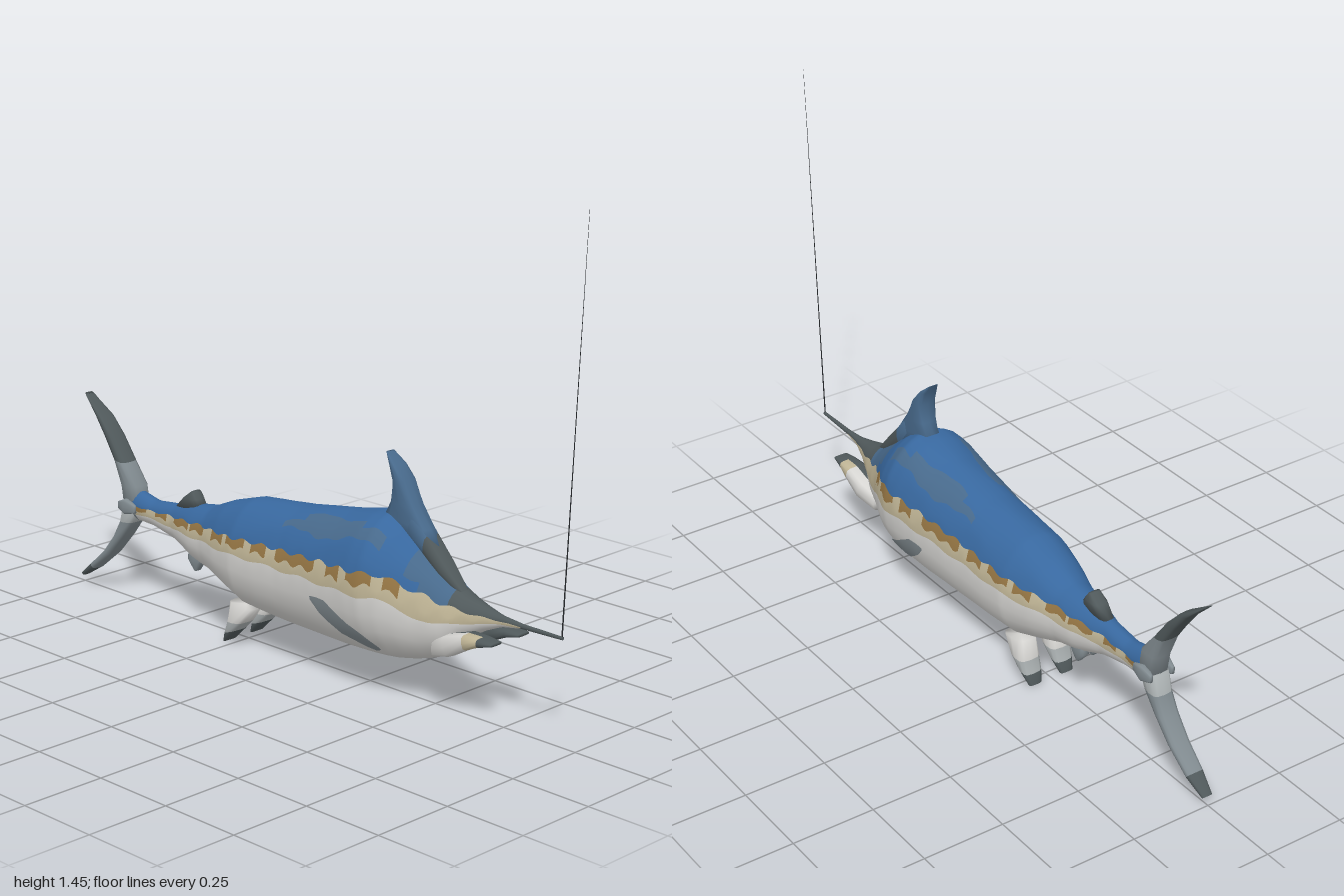
import * as THREE from 'three';

const mat = (name, color) => {
  const m = new THREE.MeshStandardMaterial({ color });
  m.name = name;
  return m;
};

// Closed loft through rings of points; pick(i, j) gives the material of each cell
function loft(name, rings, pick) {
  const middle = r => {
    const c = r.reduce((s, p) => s.add(p), new THREE.Vector3()).divideScalar(r.length);
    return r.map(() => c.clone());
  };
  const all = [middle(rings[0]), ...rings, middle(rings[rings.length - 1])];
  const n = rings[0].length, pts = all.flat(), sets = new Map();
  let volume = 0;
  for (let i = 0; i < all.length - 1; i++) for (let j = 0; j < n; j++) {
    const k = (j + 1) % n, a = i * n + j, b = a + n, c = i * n + k, d = c + n;
    const m = pick(THREE.MathUtils.clamp(i - 1, 0, rings.length - 2), j);
    if (!sets.has(m)) sets.set(m, []);
    for (const t of [[a, c, b], [b, c, d]]) {
      const [p, q, r] = t.map(v => pts[v]);
      if (q.clone().sub(p).cross(r.clone().sub(p)).lengthSq() < 1e-16) continue;
      volume += p.dot(q.clone().cross(r));
      sets.get(m).push(t);
    }
  }
  const geo = new THREE.BufferGeometry().setFromPoints(pts), index = [], mats = [];
  for (const [m, tris] of sets) {
    geo.addGroup(index.length, tris.length * 3, mats.length);
    mats.push(m);
    for (const t of tris) index.push(...(volume < 0 ? [t[0], t[2], t[1]] : t));
  }
  geo.setIndex(index);
  geo.computeVertexNormals();
  const mesh = new THREE.Mesh(geo, mats);
  mesh.name = name;
  return mesh;
}

// Fin from sections [x1, y1, x2, y2, half thickness], one material per segment;
// cells 0-5 of each ring face +z, and an array entry [+z, -z] colours the two faces apart
function fin(name, sections, mats, zc = 0) {
  const rings = sections.map(([x1, y1, x2, y2, h, z = 0]) =>
    Array.from({ length: 12 }, (_, k) => {
      const a = k / 12 * Math.PI * 2, soft = v => Math.sign(v) * Math.abs(v) ** 0.6;
      const u = (1 + soft(Math.cos(a))) / 2;
      return new THREE.Vector3(x1 + (x2 - x1) * u, y1 + (y2 - y1) * u, zc + z + h * soft(Math.sin(a)));
    }));
  return loft(name, rings, (i, j) => [mats[Math.min(i, mats.length - 1)]].flat().at(j < 6 ? 0 : -1));
}

// Body stations: x, top, bottom, half width, lower edge of the back colour
const stations = [
  [-0.77, 0.345, 0.285, 0.02, 0.318], [-0.73, 0.36, 0.265, 0.035, 0.318],
  [-0.65, 0.342, 0.262, 0.034, 0.316], [-0.55, 0.353, 0.24, 0.04, 0.322],
  [-0.45, 0.374, 0.2, 0.068, 0.331], [-0.38, 0.386, 0.185, 0.08, 0.337],
  [-0.3, 0.42, 0.155, 0.105, 0.344], [-0.2, 0.45, 0.12, 0.13, 0.352],
  [-0.1, 0.46, 0.112, 0.136, 0.36], [0, 0.47, 0.108, 0.14, 0.365],
  [0.2, 0.502, 0.104, 0.156, 0.377], [0.3, 0.525, 0.107, 0.164, 0.38],
  [0.35, 0.53, 0.11, 0.164, 0.384], [0.4, 0.505, 0.115, 0.15, 0.386],
  [0.45, 0.465, 0.125, 0.128, 0.372], [0.5, 0.425, 0.138, 0.102, 0.35],
  [0.57, 0.372, 0.168, 0.075, 0.328], [0.62, 0.35, 0.225, 0.055, 0.317],
  [0.68, 0.333, 0.262, 0.032, 0.31], [0.74, 0.32, 0.288, 0.014, 0.307],
  [0.81, 0.314, 0.3, 0.007, 0.306]];

function station(x) {
  let i = 0;
  while (i < stations.length - 2 && stations[i + 1][0] < x) i++;
  const a = stations[i], b = stations[i + 1], t = (x - a[0]) / (b[0] - a[0]);
  const [, top, bottom, w, edge] = a.map((v, k) => v + (b[k] - v) * t);
  return { c: (top + bottom) / 2, h: (top - bottom) / 2, w, edge };
}

export function createModel() {
  const blue = mat('back blue', 0x38689f), slate = mat('slate blue', 0x486a8c);
  const white = mat('belly white', 0xd6d5d2), tan = mat('stripe tan', 0xc0b596);
  const brown = mat('stripe brown', 0x967644), grey = mat('fin grey', 0x818b90);
  const dark = mat('dark grey', 0x50595b), pale = mat('pale grey', 0xaab0b1);
  const black = mat('line black', 0x25282b);
  const model = new THREE.Group();
  model.name = 'fish';

  // Body: each half ring has 6 back, 1 blotch, 1 tan and 6 belly cells
  const count = 150, x0 = -0.77, x1 = 0.81, half = 14;
  const xAt = i => x0 + (x1 - x0) * i / count;
  const rings = Array.from({ length: count + 1 }, (_, i) => {
    const x = xAt(i), { c, h, w, edge } = station(x);
    const phi = y => Math.acos(THREE.MathUtils.clamp((y - c) / h, -0.9, 0.9));
    const band = Math.min(THREE.MathUtils.mapLinear(x, -0.7, 0.35, 0.016, 0.034), h * 0.3, 0.034);
    const e = edge + band * 0.2 * Math.sin(x * 75);
    const blotch = edge - band * (1 + 0.25 * Math.sin(x * 97));
    const p = [phi(e), phi(blotch), phi(edge - band * (1.95 + 0.15 * Math.sin(x * 41)))];
    const angles = [];
    for (let k = 0; k < 6; k++) angles.push(p[0] * (k + (k > 0 ? 0.3 * Math.sin(x * 23 + k) : 0)) / 6);
    angles.push(p[0], p[1]);
    for (let k = 0; k <= 6; k++) angles.push(p[2] + (Math.PI - p[2]) * k / 6);
    const side = angles.map(a => new THREE.Vector3(x, c + h * Math.cos(a), w * Math.sin(a)));
    const other = side.slice(1, half).reverse().map(v => new THREE.Vector3(v.x, v.y, -v.z));
    return [...side, ...other];
  });
  model.add(loft('body', rings, (i, j) => {
    const x = xAt(i), k = j < half ? j : 2 * half - 1 - j;
    if (k < 6) {
      if (x > 0.58 || x < -0.73) return dark;
      if (x > 0.46 && k < 5 || x > 0.5) return slate;
      if (x > -0.02 && x < 0.38 && k === 3 || x > 0.06 && x < 0.3 && k === 2) return slate;
      return blue;
    }
    if (x < -0.72) return grey;
    if (k === 6) return x < 0.46 && Math.sin(x * 60) + 0.6 * Math.sin(x * 23) > -0.5 ? brown : tan;
    return k === 7 ? tan : white;
  }));

  // Bill and the fine line rising from its tip
  const rod = (name, a, b, ra, rb, m) => {
    const from = new THREE.Vector3(...a), dir = new THREE.Vector3(...b).sub(from);
    const mesh = new THREE.Mesh(new THREE.CylinderGeometry(rb, ra, dir.length(), 8), m);
    mesh.position.copy(from).addScaledVector(dir, 0.5);
    mesh.quaternion.setFromUnitVectors(new THREE.Vector3(0, 1, 0), dir.normalize());
    mesh.name = name;
    model.add(mesh);
  };
  rod('bill', [0.74, 0.306, 0], [0.948, 0.308, 0], 0.009, 0.005, dark);
  rod('fishingLine', [0.945, 0.308, 0], [0.998, 1.455, 0], 0.002, 0.0004, black);

  // Dorsal fin with a long dark leading root
  model.add(fin('dorsalFin', [
    [0.318, 0.695, 0.325, 0.692, 0.016], [0.335, 0.665, 0.362, 0.662, 0.027],
    [0.35, 0.62, 0.395, 0.625, 0.032], [0.342, 0.56, 0.43, 0.56, 0.034],
    [0.32, 0.525, 0.475, 0.5, 0.034], [0.33, 0.47, 0.52, 0.445, 0.032]], [slate]));
  model.add(fin('dorsalRoot', [
    [0.41, 0.47, 0.435, 0.545, 0.034], [0.47, 0.43, 0.48, 0.49, 0.033],
    [0.53, 0.38, 0.54, 0.425, 0.03], [0.6, 0.34, 0.605, 0.355, 0.016]], [slate, dark]));

  // Tail: two swept lobes and side keels
  model.add(fin('upperTailLobe', [
    [-0.965, 0.625, -0.95, 0.617, 0.016], [-0.905, 0.565, -0.872, 0.563, 0.028],
    [-0.862, 0.508, -0.822, 0.508, 0.031], [-0.82, 0.445, -0.773, 0.438, 0.033],
    [-0.79, 0.37, -0.72, 0.372, 0.035], [-0.78, 0.31, -0.71, 0.31, 0.035]],
    [dark, dark, dark, grey, grey]));
  model.add(fin('lowerTailLobe', [
    [-1, 0.035, -0.99, 0.026, 0.016], [-0.945, 0.08, -0.93, 0.063, 0.027],
    [-0.88, 0.135, -0.85, 0.128, 0.031], [-0.83, 0.195, -0.785, 0.2, 0.033],
    [-0.8, 0.25, -0.74, 0.255, 0.034], [-0.785, 0.31, -0.71, 0.31, 0.035]],
    [dark, grey, grey, grey, pale]));

  // Small second dorsal fin
  model.add(fin('rearDorsalFin', [
    [-0.482, 0.41, -0.468, 0.406, 0.018], [-0.515, 0.385, -0.455, 0.388, 0.025],
    [-0.55, 0.352, -0.435, 0.36, 0.025]], [dark]));

  for (const s of [1, -1]) {
    const side = s > 0 ? 'left' : 'right';
    model.add(fin(side + 'TailKeel', [
      [-0.785, 0.32, -0.785, 0.295, 0.006], [-0.75, 0.335, -0.75, 0.285, 0.016],
      [-0.71, 0.32, -0.71, 0.295, 0.006]], [grey], s * 0.037));

    // Belly fins
    model.add(fin(side + 'BellyFin', [
      [-0.283, 0.003, -0.268, 0.008, 0.022], [-0.272, 0.035, -0.225, 0.05, 0.033],
      [-0.258, 0.075, -0.195, 0.08, 0.037], [-0.25, 0.14, -0.155, 0.13, 0.034]],
      [dark, pale, white], s * 0.055));
    model.add(fin(side + 'AnalFin', [
      [-0.452, 0.173, -0.438, 0.175, 0.01], [-0.478, 0.205, -0.42, 0.2, 0.016],
      [-0.475, 0.24, -0.4, 0.23, 0.016]], [grey], s * 0.025));

    // Forward jaw fins, pale outside and dark inside
    const faces = outer => s > 0 ? [outer, dark] : [dark, outer];
    model.add(fin(side + 'JawFin', [
      [0.55, 0.17, 0.55, 0.22, 0.03, -s * 0.01], [0.62, 0.19, 0.6, 0.248, 0.04],
      [0.68, 0.224, 0.67, 0.268, 0.038], [0.72, 0.242, 0.72, 0.268, 0.031],
      [0.765, 0.254, 0.765, 0.263, 0.024]],
      [white, faces(white), faces(tan), dark], s * 0.056));

    // Pectoral patch following the flank: x, upper y, lower y
    const outline = [[0.16, 0.272, 0.262], [0.19, 0.275, 0.23], [0.22, 0.274, 0.208],
      [0.26, 0.25, 0.18], [0.3, 0.226, 0.17], [0.34, 0.206, 0.155],
      [0.365, 0.185, 0.147], [0.385, 0.163, 0.155]];
    const pos = [], index = [], cols = 5;
    outline.forEach(([x, up, low], i) => {
      const { c, h, w } = station(x);
      for (let k = 0; k <= cols; k++) {
        const y = up + (low - up) * k / cols;
        pos.push(x, y, s * (w * Math.sqrt(1 - ((y - c) / h) ** 2) + 0.004));
        if (i && k) {
          const d = i * (cols + 1) + k, b = d - 1, cc = d - cols - 1, a = cc - 1;
          index.push(...(s > 0 ? [a, cc, b, b, cc, d] : [a, b, cc, b, d, cc]));
        }
      }
    });
    const geo = new THREE.BufferGeometry();
    geo.setAttribute('position', new THREE.Float32BufferAttribute(pos, 3));
    geo.setIndex(index);
    geo.computeVertexNormals();
    const patch = new THREE.Mesh(geo, grey);
    patch.name = side + 'PectoralFin';
    model.add(patch);
  }
  return model;
}
